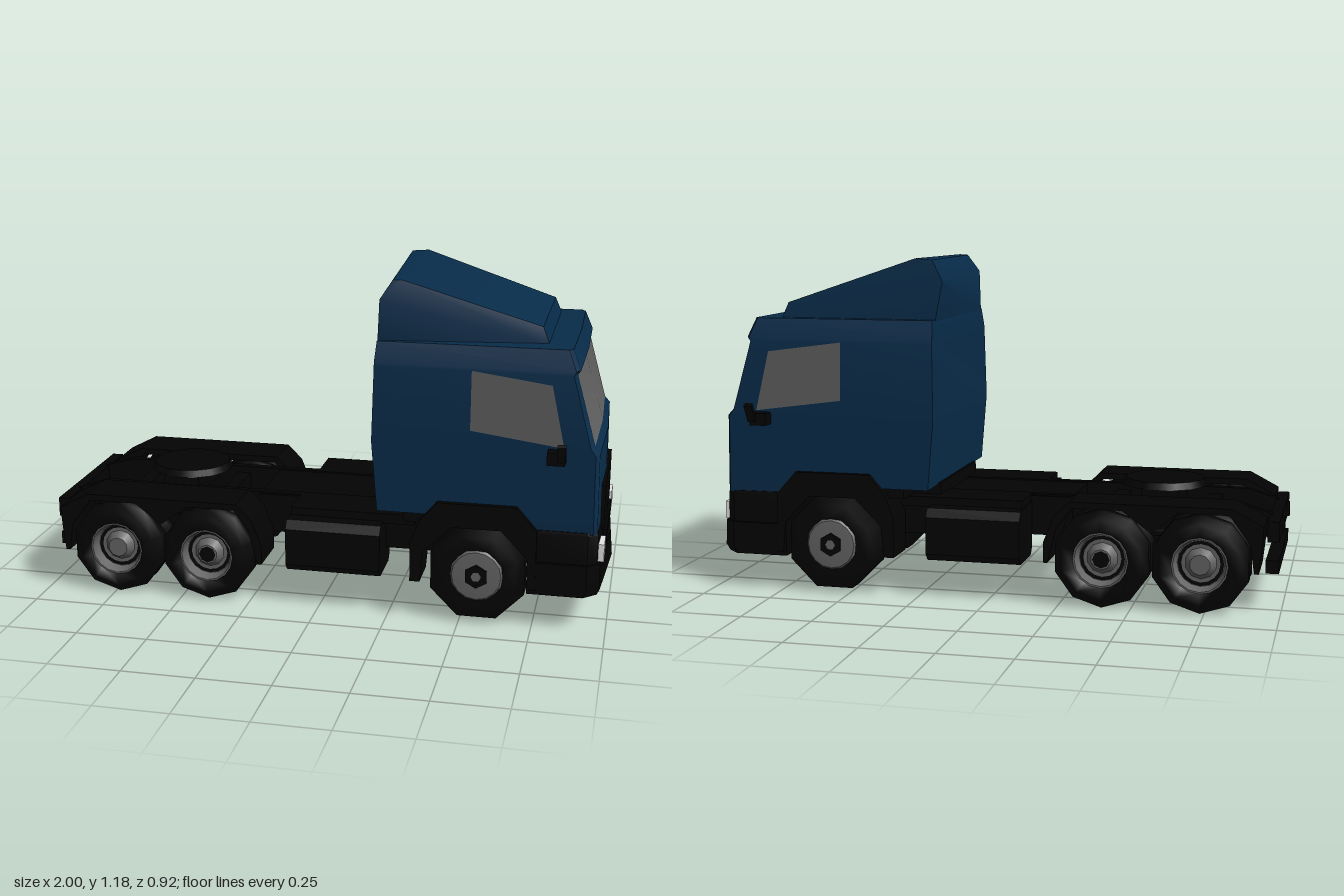
import * as THREE from 'three';
import { toCreasedNormals } from 'three/addons/utils/BufferGeometryUtils.js';
import { ConvexGeometry } from 'three/addons/geometries/ConvexGeometry.js';

const mat = (name, color, side = THREE.FrontSide) => {
  const m = new THREE.MeshStandardMaterial({ color, side });
  m.name = name;
  return m;
};

export function createModel() {
  const truck = new THREE.Group();
  truck.name = 'tractorTruck';
  const blue = mat('bodyBlue', 0x082c4a);
  const black = mat('chassisBlack', 0x030303);
  const glass = mat('windowGrey', 0x5e5e5e, THREE.DoubleSide);
  const steel = mat('rimGrey', 0x666666);
  const lamp = mat('headlightWhite', 0xe6e6e6);

  const add = (name, geo, material, parent = truck) => {
    const m = new THREE.Mesh(geo, material);
    m.name = name;
    parent.add(m);
    return m;
  };
  // Box given by its limits on each axis
  const box = (name, [x0, x1], [y0, y1], [z0, z1], material = black, parent = truck) => {
    const g = new THREE.BoxGeometry(x1 - x0, y1 - y0, z1 - z0);
    g.translate((x0 + x1) / 2, (y0 + y1) / 2, (z0 + z1) / 2);
    return add(name, g, material, parent);
  };
  // Side profile in x, y extruded from z0 to z1
  const slab = (name, pts, z0, z1, parent) => {
    const s = new THREE.Shape(pts.map(p => new THREE.Vector2(...p)));
    const g = new THREE.ExtrudeGeometry(s, { depth: z1 - z0, bevelEnabled: false });
    g.translate(0, 0, z0);
    return add(name, g, black, parent);
  };
  // Stacked plan outlines: [y, rearX, cornerX, frontX, noseX, halfWidth, frontHalfWidth]
  const stack = (name, levels, materials, isSecond = () => false) => {
    const rings = levels.map(([y, r, c, f, n, w, wf]) =>
      [[r, -w], [c, -w], [f, -wf], [n, 0], [f, wf], [c, w], [r, w]].map(([x, z]) => [x, y, z]));
    const parts = [[], []];
    const N = rings[0].length;
    for (let k = 0; k + 1 < rings.length; k++) for (let i = 0; i < N; i++) {
      const j = (i + 1) % N;
      const [a, b, c, d] = [rings[k][i], rings[k][j], rings[k + 1][j], rings[k + 1][i]];
      parts[isSecond(k, i) ? 1 : 0].push(a, c, b, a, d, c);
    }
    const top = rings[rings.length - 1], bottom = rings[0];
    for (let i = 1; i + 1 < N; i++) {
      parts[0].push(top[0], top[i + 1], top[i], bottom[0], bottom[i], bottom[i + 1]);
    }
    const g = new THREE.BufferGeometry();
    g.setAttribute('position', new THREE.Float32BufferAttribute([...parts[0], ...parts[1]].flat(), 3));
    g.addGroup(0, parts[0].length, 0);
    g.addGroup(parts[0].length, parts[1].length, 1);
    return add(name, toCreasedNormals(g, 0.6), materials);
  };

  // Cab shell with windscreen faces, and the apron below its front
  stack('cabAndWindscreen', [
    [0.38, 0.21, 0.945, 0.958, 0.968, 0.37, 0.348],
    [0.62, 0.19, 0.942, 0.955, 0.965, 0.37, 0.348],
    [0.645, 0.19, 0.925, 0.937, 0.945, 0.37, 0.333],
    [0.885, 0.195, 0.86, 0.87, 0.876, 0.36, 0.33],
    [0.9, 0.195, 0.866, 0.88, 0.886, 0.357, 0.335],
    [0.967, 0.2, 0.84, 0.853, 0.858, 0.335, 0.315],
  ], [blue, glass], (k, i) => k === 2 && (i === 2 || i === 3));
  stack('cabApron', [
    [0.345, 0.735, 0.945, 0.958, 0.968, 0.368, 0.348],
    [0.385, 0.735, 0.945, 0.958, 0.968, 0.37, 0.348],
  ], [blue, blue]);

  // Skewed roof deflector
  add('roofDeflector', toCreasedNormals(new ConvexGeometry([
    [0.2, 0.96, 0.325], [0.2, 0.96, -0.3], [0.77, 0.96, 0.25], [0.77, 0.96, -0.29],
    [0.745, 1.02, 0.24], [0.745, 1.02, -0.28], [0.175, 1.1, -0.292], [0.21, 1.11, 0.345],
    [0.25, 1.172, 0.32], [0.215, 1.173, -0.28], [0.275, 1.178, -0.28], [0.28, 1.174, 0.32],
  ].map(p => new THREE.Vector3(...p))), 0.6), blue);

  // Front bumper: upper lamp band and wider lower lip
  stack('lampBand', [
    [0.23, 0.73, 0.93, 0.962, 0.978, 0.375, 0.345],
    [0.34, 0.73, 0.93, 0.962, 0.978, 0.375, 0.345],
    [0.352, 0.73, 0.925, 0.955, 0.97, 0.372, 0.34],
  ], [black, black]);
  stack('bumper', [
    [0.125, 0.73, 0.92, 0.965, 0.99, 0.383, 0.34],
    [0.15, 0.73, 0.93, 0.975, 1.0, 0.386, 0.35],
    [0.24, 0.73, 0.93, 0.972, 0.992, 0.386, 0.35],
  ], [black, black]);

  // Grille panel with lower bars
  box('grille', [0.93, 0.975], [0.3, 0.475], [-0.22, 0.22]);
  for (const y of [0.258, 0.29]) box('grilleBar', [0.95, 0.984], [y - 0.009, y + 0.009], [-0.17, 0.17]);

  // Frame, driveline and rear cross members
  box('driveline', [-0.26, 0.2], [0.2, 0.34], [-0.165, 0.165]);
  box('engine', [0.2, 0.75], [0.2, 0.385], [-0.24, 0.24]);
  box('cabFloor', [0.3, 0.75], [0.345, 0.385], [-0.36, 0.36]);
  box('rearCrossMember', [-0.99, -0.95], [0.24, 0.31], [-0.28, 0.28]);
  box('rearUnderrunBar', [-0.99, -0.945], [0.13, 0.175], [-0.27, 0.27]);
  for (const x of [-0.735, -0.4]) {
    box('frameCrossMember', [x - 0.025, x + 0.025], [0.26, 0.32], [-0.2, 0.2]);
    const axle = add('rearAxle', new THREE.CylinderGeometry(0.03, 0.03, 0.6, 8).rotateX(Math.PI / 2), black);
    axle.position.set(x, 0.17, 0);
    const diff = add('differential', new THREE.SphereGeometry(1, 10, 8).scale(0.045, 0.06, 0.1), black);
    diff.position.set(x, 0.175, 0);
  }
  const shaft = add('driveShaft', new THREE.CylinderGeometry(0.02, 0.02, 0.5, 8).rotateZ(Math.PI / 2), black);
  shaft.position.set(-0.48, 0.2, 0);
  add('frontAxle', new THREE.CylinderGeometry(0.03, 0.03, 0.6, 8).rotateX(Math.PI / 2), black).position.set(0.56, 0.17, 0);

  // Fifth wheel coupling on its stand
  add('fifthWheel', new THREE.CylinderGeometry(0.14, 0.15, 0.025, 16), black).position.set(-0.565, 0.387, 0);
  box('fifthWheelStand', [-0.63, -0.5], [0.3, 0.376], [-0.14, 0.14]);

  // Tyre around z, with an open well of the given depth in its outer face
  const tyreGeo = (r, h, n, well) => new THREE.LatheGeometry([
    [0, -h], [r - 0.03, -h], [r, -h + 0.025], [r, h - 0.025], [r - 0.03, h], [0.096, h], [0.09, h - well], [0, h - well],
  ].map(p => new THREE.Vector2(...p)), n).rotateX(Math.PI / 2);
  const dish = pts => toCreasedNormals(
    new THREE.LatheGeometry(pts.map(p => new THREE.Vector2(...p)), 16).rotateX(Math.PI / 2), 0.5);

  for (const s of [1, -1]) {
    const side = new THREE.Group();
    side.name = s > 0 ? 'rightSide' : 'leftSide';
    side.scale.z = s;
    truck.add(side);

    // Frame rail
    slab('frameRail', [[-1, 0.25], [-0.85, 0.25], [-0.7, 0.24], [0.9, 0.22], [0.9, 0.345], [-0.28, 0.345],
      [-0.85, 0.345], [-1, 0.3]], 0.125, 0.155, side);
    // Side tank with rounded upper and lower edges
    const tank = new THREE.Shape([[0.17, 0.15], [0.19, 0.13], [0.345, 0.13], [0.367, 0.155], [0.367, 0.285],
      [0.345, 0.315], [0.17, 0.325]].map(p => new THREE.Vector2(-p[0], p[1])).reverse());
    const tankGeo = new THREE.ExtrudeGeometry(tank, { depth: 0.335, bevelEnabled: false });
    add('sideTank', tankGeo.rotateY(Math.PI / 2).translate(-0.115, 0, 0), black, side);
    box('tankShelf', [-0.11, 0.33], [0.31, 0.345], [0.13, 0.3], black, side);

    // Rear mudguard: a thin shell over both axles
    slab('rearMudguard', [[-0.93, 0.15], [-0.915, 0.15], [-0.9, 0.25], [-0.83, 0.343], [-0.66, 0.343], [-0.57, 0.27],
      [-0.47, 0.343], [-0.3, 0.343], [-0.245, 0.27], [-0.215, 0.15], [-0.2, 0.15], [-0.2, 0.22], [-0.235, 0.31],
      [-0.29, 0.365], [-0.84, 0.365], [-0.945, 0.31], [-0.94, 0.24]], 0.2, 0.375, side);
    // Front wheel arch
    slab('frontWheelArch', [[0.33, 0.14], [0.365, 0.14], [0.375, 0.25], [0.47, 0.345], [0.64, 0.345], [0.73, 0.25],
      [0.74, 0.14], [0.76, 0.14], [0.76, 0.35], [0.69, 0.43], [0.42, 0.43], [0.36, 0.36], [0.33, 0.28]], 0.25, 0.39, side);

    // Rear twin wheels with deep dished rims
    for (const x of [-0.735, -0.4]) {
      const w = new THREE.Group();
      w.name = 'rearWheel';
      w.position.set(x, 0.17, 0);
      side.add(w);
      for (const [z, h] of [[0.245, 0.042], [0.335, 0.047]]) {
        add('rearTyre', tyreGeo(0.17, h, 10, 0.05), black, w).position.z = z;
      }
      add('rearRim', dish([[0.096, 0.001], [0.09, 0.001], [0.08, -0.042], [0, -0.042]]), steel, w).position.z = 0.382;
      add('rimGroove', new THREE.RingGeometry(0.066, 0.078, 16), black, w).position.z = 0.342;
      const hub = add('rearHub', new THREE.CylinderGeometry(0.035, 0.055, 0.03, 10).rotateX(Math.PI / 2), steel, w);
      hub.position.z = 0.354;
      if (x > -0.5) add('hubCap', new THREE.CircleGeometry(0.03, 8), black, w).position.z = 0.371;
    }
    // Front wheel
    const fw = new THREE.Group();
    fw.name = 'frontWheel';
    fw.position.set(0.56, 0.177, 0);
    side.add(fw);
    const ft = add('frontTyre', tyreGeo(0.175, 0.06, 8, 0.005), black, fw);
    ft.position.z = 0.325;
    ft.rotation.z = Math.PI / 8;
    add('frontRim', dish([[0.092, 0], [0.085, 0.008], [0.06, 0.01], [0, 0.01]]), steel, fw).position.z = 0.383;
    add('frontHub', new THREE.CylinderGeometry(0.042, 0.042, 0.01, 6).rotateX(Math.PI / 2), black, fw).position.z = 0.395;
    add('frontHubCap', new THREE.CircleGeometry(0.018, 6), steel, fw).position.z = 0.401;

    // Side window plate following the lean of the door
    const pane = new THREE.ShapeGeometry(new THREE.Shape(
      [[0.525, 0.685], [0.838, 0.643], [0.792, 0.852], [0.525, 0.888]].map(p => new THREE.Vector2(...p))));
    const pos = pane.attributes.position;
    for (let i = 0; i < pos.count; i++) pos.setZ(i, 0.374 - (pos.getY(i) - 0.645) / 24);
    pane.computeVertexNormals();
    add('sideWindow', pane, glass, side);

    // Mirror on its arm
    box('mirrorArm', [0.785, 0.845], [0.595, 0.638], [0.36, 0.42], black, side);
    const mirror = box('mirror', [-0.014, 0.014], [-0.035, 0.035], [-0.008, 0.008], black, side);
    mirror.position.set(0.835, 0.642, 0.435);
    mirror.rotation.x = 0.5;

    // Headlight
    box('headlight', [0.94, 0.983], [0.241, 0.302], [0.24, 0.331], lamp, side);
  }
  return truck;
}
